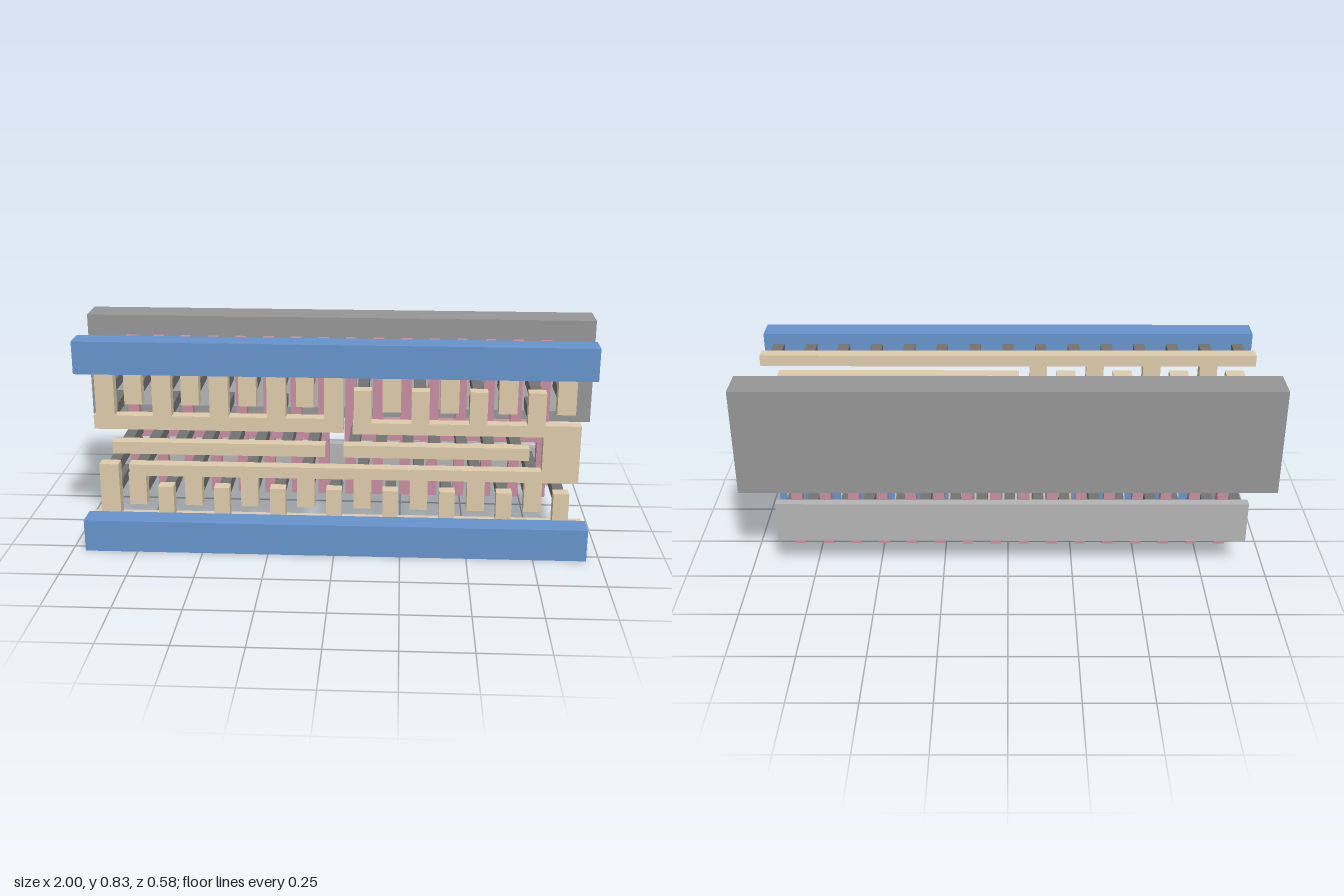
import * as THREE from 'three';

const mat = (color) => new THREE.MeshStandardMaterial({ color });

export function createModel() {
  const model = new THREE.Group();
  const group = (name) => {
    const g = new THREE.Group();
    g.name = name;
    model.add(g);
    return g;
  };
  // Box given by its limits on each axis
  const slab = (parent, name, material, x0, x1, y0, y1, z0, z1) => {
    const m = new THREE.Mesh(new THREE.BoxGeometry(x1 - x0, y1 - y0, z1 - z0), material);
    m.position.set((x0 + x1) / 2, (y0 + y1) / 2, (z0 + z1) / 2);
    m.name = name;
    parent.add(m);
  };

  const wellMat = mat(0x969696), diffusionMat = mat(0xb4b4b4), contactMat = mat(0x727272);
  const gateMat = mat(0xc78da1), metalMat = mat(0xdecbab), railMat = mat(0x6694cc);

  // Well and the two diffusion strips
  slab(model, 'well', wellMat, -1, 1, 0.4, 0.815, -0.29, -0.158);
  const diffusion = group('diffusion');
  slab(diffusion, 'lowerDiffusion', diffusionMat, -0.92, 0.89, 0.125, 0.29, -0.19, -0.155);
  slab(diffusion, 'upperDiffusion', diffusionMat, -0.92, 0.89, 0.445, 0.705, -0.19, -0.155);

  // Column i lies between gates i - 1 and i
  const pitch = 0.109;
  const column = (i) => -0.879 + pitch * i;

  // Gate fingers, joined in two sets by a cross bar
  const gates = group('gates');
  for (let i = 0; i < 16; i++) {
    const x = column(i + 0.5);
    slab(gates, 'gateFinger', gateMat, x - 0.021, x + 0.021, 0.092, 0.737, -0.157, -0.112);
  }
  for (const [x0, x1] of [[-0.845, -0.04], [0.022, 0.82]])
    slab(gates, 'gateBar', gateMat, x0, x1, 0.325, 0.408, -0.157, -0.112);

  // Inner metal layer: rails, combs and input bars
  const metal = group('innerMetal');
  const strip = (name, x0, x1, y0, y1) => slab(metal, name, metalMat, x0, x1, y0, y1, 0.083, 0.133);
  const contacts = group('contacts');
  const contact = (x, y, z0 = -0.156) =>
    slab(contacts, 'contact', contactMat, x - 0.021, x + 0.021, y - 0.022, y + 0.022, z0, 0.083);
  const tooth = (i, y0, y1, width, heights) => {
    const x = column(i);
    strip('tooth', x - width / 2, x + width / 2, y0, y1);
    heights.forEach((y) => contact(x, y));
  };

  strip('lowerRail', -0.95, 0.95, 0.042, 0.085);
  strip('upperRail', -0.95, 0.95, 0.743, 0.787);
  strip('leftCombBar', -0.925, -0.01, 0.44, 0.495);
  strip('rightHangingBar', -0.04, 0.89, 0.66, 0.703);
  strip('rightCombBar', 0.065, 0.925, 0.435, 0.48);
  strip('outputRiser', 0.785, 0.925, 0.252, 0.48);
  strip('lowerCombBar', -0.8, 0.925, 0.25, 0.295);
  strip('leftInputBar', -0.86, -0.04, 0.34, 0.388);
  strip('rightInputBar', 0.03, 0.735, 0.34, 0.388);

  for (let i = 0; i <= 16; i++) {
    const odd = i % 2 === 1;
    // Lower row
    if (odd) tooth(i, 0.13, 0.26, 0.067, [0.163, 0.251]);
    else if (i === 0) tooth(i, 0.05, 0.295, 0.075, [0.163, 0.251]);
    else tooth(i, 0.05, 0.205, 0.06, [0.163]);
    // Upper row
    if (i <= 8) {
      if (odd) tooth(i, 0.54, 0.76, 0.067, [0.668, 0.58]);
      else tooth(i, 0.44, 0.702, 0.072, [0.668, 0.58, 0.482]);
    } else if (odd) tooth(i, 0.45, 0.608, 0.067, [0.58, 0.482]);
    else tooth(i, 0.525, 0.68, 0.07, [0.657, 0.568]);
  }

  // Contacts from the input bars through the gate bars
  for (let i = 0; i < 8; i++) contact(-0.81 + i * 0.103, 0.363, -0.158);
  for (let i = 0; i < 7; i++) contact(0.07 + i * 0.103, 0.363, -0.158);

  // Outer power rails with their rows of vias
  const rails = group('outerRails');
  slab(rails, 'lowerOuterRail', railMat, -0.95, 0.95, 0, 0.125, 0.197, 0.29);
  slab(rails, 'upperOuterRail', railMat, -0.95, 0.95, 0.705, 0.828, 0.197, 0.29);
  const vias = group('vias');
  for (let i = 0; i < 15; i++) {
    const x = -0.892 + i * 0.1275;
    for (const y of [0.0635, 0.765])
      slab(vias, 'via', contactMat, x - 0.0215, x + 0.0215, y - 0.0215, y + 0.0215, 0.11, 0.2);
  }
  return model;
}
